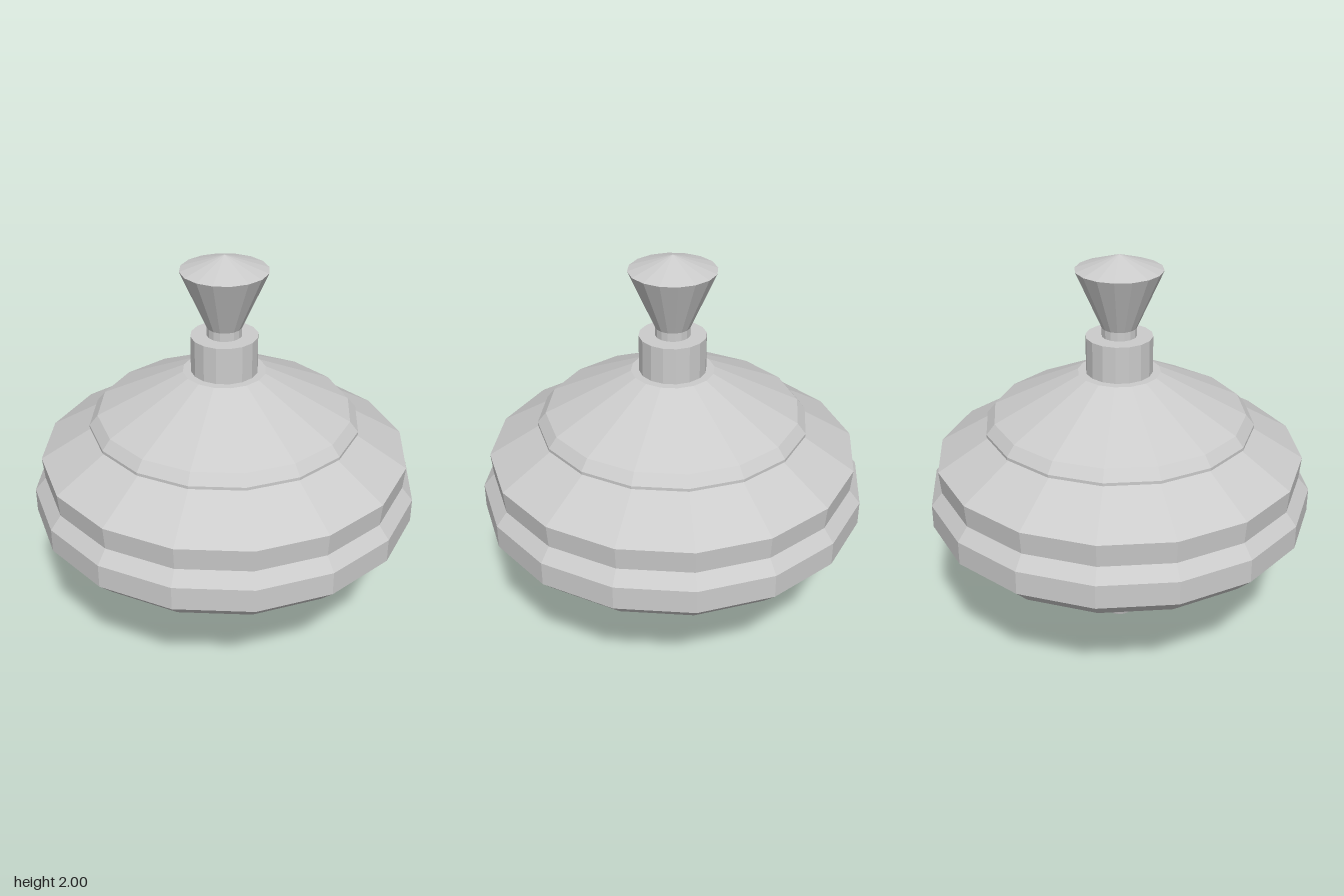
import * as THREE from 'three';

const SIDES = 16;

export function createModel() {
  const top = new THREE.Group();
  top.name = 'spinningTop';
  const material = new THREE.MeshStandardMaterial({ color: 0xcccccc, flatShading: true });

  // Turned part from [radius, height] points, listed bottom to top
  const turn = (name, profile) => {
    const points = profile.map(([r, y]) => new THREE.Vector2(r, y));
    const mesh = new THREE.Mesh(new THREE.LatheGeometry(points, SIDES), material);
    mesh.name = name;
    top.add(mesh);
  };

  // Tapered foot the top spins on
  turn('tip', [[0, 0], [0.073, 0], [0.15, 0.26], [0.15, 0.335], [0, 0.335]]);

  // Wide body: lower cone, rim, waist groove and shoulder
  turn('body', [
    [0, 0.333], [0.15, 0.333], [0.88, 0.595], [0.965, 0.68], [0.965, 0.8],
    [0.91, 0.865], [0.92, 0.98], [0.655, 1.14], [0, 1.14],
  ]);

  // Raised upper cone with a small stepped edge
  turn('crown', [
    [0, 1.137], [0.672, 1.137], [0.672, 1.152], [0.63, 1.203], [0.205, 1.412], [0, 1.412],
  ]);

  // Collar between body and handle
  turn('collar', [[0, 1.41], [0.165, 1.41], [0.165, 1.597], [0, 1.597]]);

  // Flared handle with a shallow pointed cap
  turn('handle', [[0, 1.59], [0.086, 1.59], [0.086, 1.64], [0.213, 1.927], [0, 2]]);

  return top;
}
